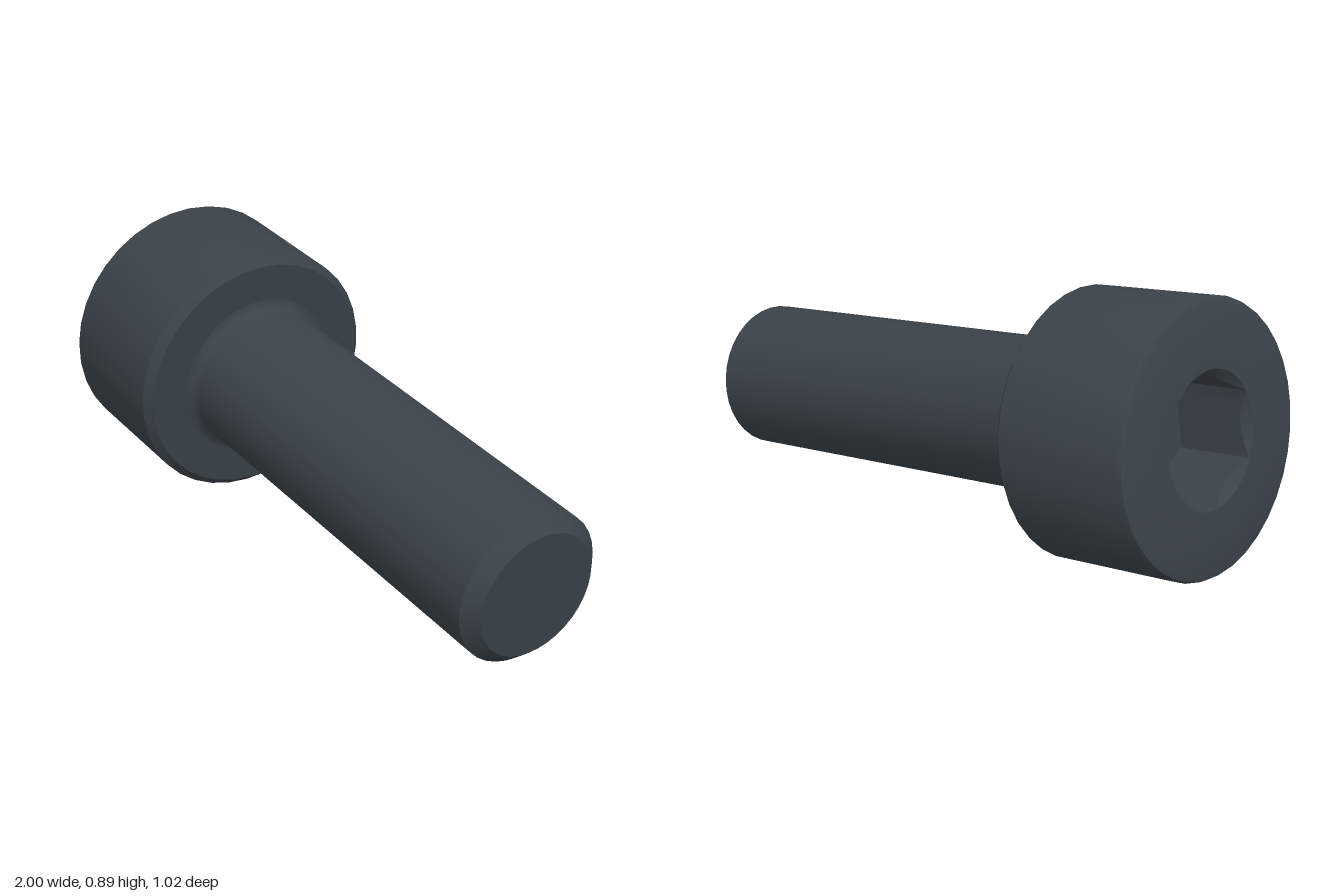
import * as THREE from 'three';
import { toCreasedNormals } from 'three/addons/utils/BufferGeometryUtils.js';

const SEGMENTS = 36;
const HEAD = 0.47, TOTAL = 1.91;              // lengths along the axis, from the head face
const HEAD_R = 0.417, SHANK_R = 0.24;
const FLAT = 0.18, SOCKET_R = FLAT / Math.cos(Math.PI / 6), SOCKET_DEPTH = 0.25;

const lathe = (profile) =>
  new THREE.LatheGeometry(profile.map(([r, y]) => new THREE.Vector2(r, y)), SEGMENTS);

// Hexagonal socket: a revolved cup whose wall is pulled in to six flats below a conical lead-in
function socketGeometry() {
  const rows = [[0, SOCKET_DEPTH], [SOCKET_R, SOCKET_DEPTH], [SOCKET_R, 0], [SOCKET_R, 0]];
  const geometry = lathe(rows);
  const position = geometry.attributes.position;
  for (let i = 0; i <= SEGMENTS; i++) {
    const angle = (i / SEGMENTS) * Math.PI * 2;
    const fromFlat = ((angle + Math.PI / 6) % (Math.PI / 3)) - Math.PI / 6;
    const r = Math.min(SOCKET_R, FLAT / Math.cos(fromFlat));
    for (const row of [1, 2]) {
      const y = row === 1 ? SOCKET_DEPTH : SOCKET_R - r;
      position.setXYZ(i * rows.length + row, r * Math.sin(angle), y, r * Math.cos(angle));
    }
  }
  return geometry;
}

export function createModel() {
  const steel = new THREE.MeshStandardMaterial({ color: 0x3b434a });
  steel.name = 'blackened steel';

  const screw = new THREE.Group();
  screw.name = 'socketHeadScrew';
  const add = (name, geometry) => {
    const mesh = new THREE.Mesh(toCreasedNormals(geometry, 0.75), steel);
    mesh.name = name;
    screw.add(mesh);
  };

  // Head: rounded face rim, chamfered bearing side
  add('head', lathe([
    [SOCKET_R, 0], [HEAD_R - 0.02, 0], [HEAD_R - 0.006, 0.006], [HEAD_R, 0.02],
    [HEAD_R, HEAD - 0.025], [HEAD_R - 0.025, HEAD], [SHANK_R + 0.03, HEAD],
  ]));

  add('hexSocket', socketGeometry());

  // Shank: fillet under the head, plain cylinder, chamfered tip
  const fillet = 0.032, chamfer = 0.043, shank = [];
  for (let i = 0; i <= 4; i++) {
    const a = (i / 4) * Math.PI / 2;
    shank.push([SHANK_R + fillet * (1 - Math.sin(a)), HEAD + fillet * (1 - Math.cos(a))]);
  }
  shank.push([SHANK_R, TOTAL - chamfer], [SHANK_R - chamfer, TOTAL], [0, TOTAL]);
  add('shank', lathe(shank));

  // Lay the screw along its tilted axis, with a socket corner pointing up
  const axis = new THREE.Vector3(1, -0.131, 0.212).normalize();
  const up = new THREE.Vector3(0, 1, 0).addScaledVector(axis, -axis.y).normalize();
  const side = new THREE.Vector3().crossVectors(up, axis);
  screw.quaternion.setFromRotationMatrix(new THREE.Matrix4().makeBasis(up, axis, side));
  screw.position.set(0.951, 0.235, 0.289).addScaledVector(axis, -TOTAL);

  const model = new THREE.Group();
  model.name = 'model';
  model.add(screw);
  return model;
}
